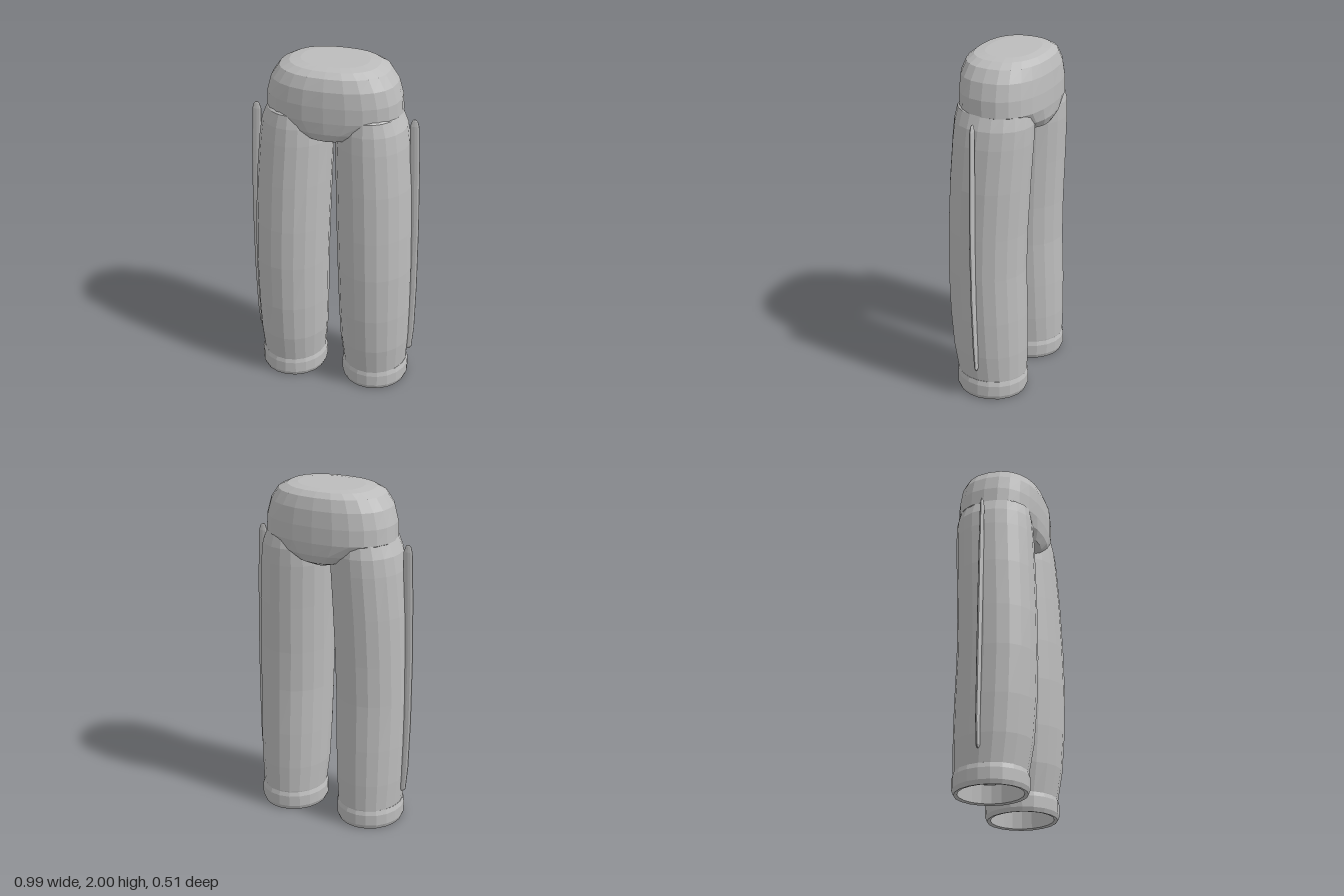
import * as THREE from 'three';

// Lofts level rings [y, xMin, xMax, zBack, zFront] into a skin; side = -1 mirrors in x.
function loft(rings, { sides = 20, side = 1, power = 2, capBottom = false, capTop = false } = {}) {
  const pos = [], idx = [];
  const bend = v => Math.sign(v) * Math.pow(Math.abs(v), 2 / power);
  for (const [y, x0, x1, z0, z1] of rings) {
    for (let i = 0; i < sides; i++) {
      const a = (i / sides) * Math.PI * 2;
      pos.push(side * (x0 + x1) / 2 + bend(Math.sin(a)) * (x1 - x0) / 2, y,
        (z0 + z1) / 2 + bend(Math.cos(a)) * (z1 - z0) / 2);
    }
  }
  for (let r = 0; r < rings.length - 1; r++) {
    for (let i = 0; i < sides; i++) {
      const a = r * sides + i, b = r * sides + (i + 1) % sides;
      idx.push(a, b, b + sides, a, b + sides, a + sides);
    }
  }
  const cap = (r, up) => {
    const [y, x0, x1, z0, z1] = rings[r], c = pos.length / 3;
    pos.push(side * (x0 + x1) / 2, y, (z0 + z1) / 2);
    for (let i = 0; i < sides; i++) {
      const a = r * sides + i, b = r * sides + (i + 1) % sides;
      if (up) idx.push(a, b, c); else idx.push(b, a, c);
    }
  };
  if (capBottom) cap(0, false);
  if (capTop) cap(rings.length - 1, true);
  const g = new THREE.BufferGeometry();
  g.setAttribute('position', new THREE.Float32BufferAttribute(pos, 3));
  g.setIndex(idx);
  const flat = g.toNonIndexed();
  flat.computeVertexNormals();
  return flat;
}

export function createModel() {
  const group = new THREE.Group();
  const cloth = new THREE.MeshStandardMaterial({ color: 0xbcbcbc, side: THREE.DoubleSide });
  cloth.name = 'grey cloth';
  const add = (name, geometry) => {
    const mesh = new THREE.Mesh(geometry, cloth);
    mesh.name = name;
    group.add(mesh);
  };

  // Rounded hip section, narrowing to the crotch
  add('hips', loft([
    [1.572, -0.07, 0.07, -0.17, 0.15],
    [1.60, -0.17, 0.17, -0.225, 0.205],
    [1.65, -0.28, 0.28, -0.25, 0.23],
    [1.72, -0.38, 0.38, -0.256, 0.238],
    [1.81, -0.375, 0.375, -0.254, 0.242],
    [1.90, -0.35, 0.35, -0.245, 0.238],
    [1.965, -0.305, 0.305, -0.225, 0.215],
    [1.992, -0.25, 0.25, -0.195, 0.18],
    [2.0, -0.19, 0.19, -0.15, 0.125],
  ], { sides: 24, power: 2.35, capBottom: true, capTop: true }));

  // Bent trouser leg, open at the bottom
  const leg = [
    [0.05, 0.075, 0.43, -0.19, 0.19],
    [0.12, 0.063, 0.44, -0.205, 0.205],
    [0.28, 0.048, 0.452, -0.208, 0.233],
    [0.50, 0.04, 0.458, -0.205, 0.25],
    [0.78, 0.033, 0.46, -0.195, 0.258],
    [1.02, 0.026, 0.455, -0.198, 0.255],
    [1.30, 0.018, 0.445, -0.21, 0.245],
    [1.55, 0.01, 0.425, -0.222, 0.232],
    [1.65, 0.015, 0.41, -0.224, 0.224],
    [1.725, 0.04, 0.378, -0.21, 0.21],
    [1.78, 0.1, 0.31, -0.13, 0.13],
  ];
  // Hollow cuff: inner wall, hem, outer wall, rolled top
  const cuff = [
    [0.11, 0.09, 0.415, -0.175, 0.175],
    [0.005, 0.085, 0.42, -0.18, 0.18],
    [0, 0.065, 0.44, -0.2, 0.2],
    [0.025, 0.055, 0.45, -0.21, 0.21],
    [0.09, 0.055, 0.45, -0.212, 0.21],
    [0.118, 0.064, 0.441, -0.203, 0.203],
    [0.125, 0.08, 0.425, -0.185, 0.185],
  ];
  // Thin raised strip along the outer seam
  const strip = [
    [0.195, 0.448, 0.462, -0.003, 0.005],
    [0.21, 0.435, 0.475, -0.007, 0.011],
    [0.35, 0.435, 0.488, -0.008, 0.014],
    [0.65, 0.44, 0.495, -0.004, 0.02],
    [1.05, 0.44, 0.495, -0.001, 0.023],
    [1.40, 0.43, 0.488, 0, 0.022],
    [1.66, 0.424, 0.477, 0.002, 0.02],
    [1.69, 0.434, 0.468, 0.006, 0.016],
    [1.70, 0.442, 0.458, 0.009, 0.013],
  ];
  for (const [label, side] of [['left', 1], ['right', -1]]) {
    add(label + 'Leg', loft(leg, { side, capTop: true }));
    add(label + 'Cuff', loft(cuff, { side }));
    add(label + 'SeamStrip', loft(strip, { side, sides: 10, capBottom: true, capTop: true }));
  }
  return group;
}
